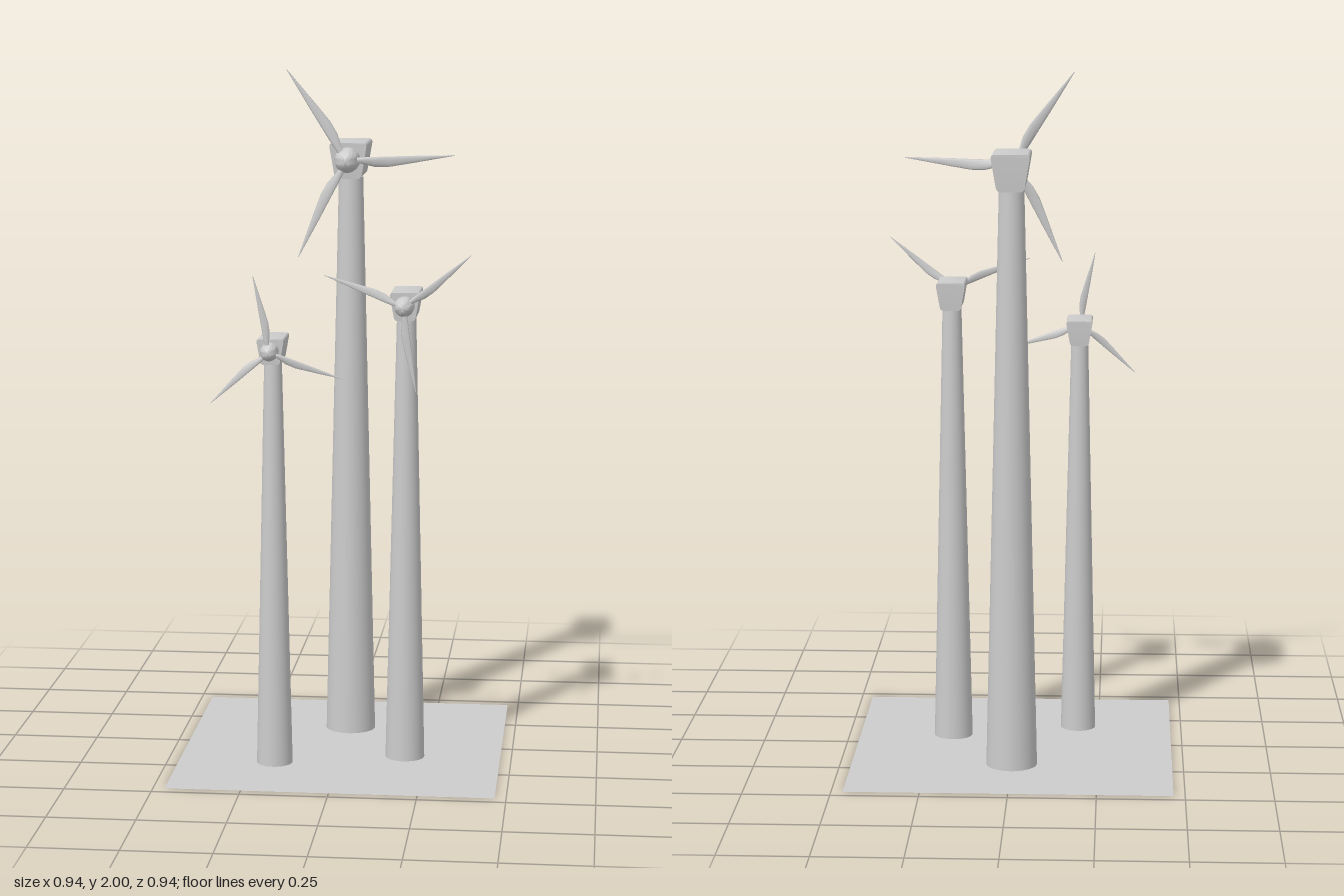
import * as THREE from 'three';
import { toCreasedNormals } from 'three/addons/utils/BufferGeometryUtils.js';

const material = new THREE.MeshStandardMaterial({ color: 0xcccccc });
const sheet = new THREE.MeshStandardMaterial({ color: 0xcccccc, side: THREE.DoubleSide });

function part(name, geometry, mat = material) {
  const mesh = new THREE.Mesh(geometry, mat);
  mesh.name = name;
  return mesh;
}

// Blade lofted along +x: [distance, trailing edge y, leading edge y, half thickness, twist]
function bladeGeometry() {
  const stations = [
    [0.015, -0.008, 0.008, 0.006, 0.3],
    [0.04, -0.010, 0.009, 0.006, 0.28],
    [0.08, -0.021, 0.009, 0.005, 0.22],
    [0.12, -0.023, 0.008, 0.004, 0.16],
    [0.18, -0.016, 0.007, 0.003, 0.1],
    [0.25, -0.007, 0.005, 0.002, 0.05],
    [0.313, 0.001, 0.003, 0.0008, 0],
  ];
  const n = 10, positions = [], index = [];
  for (const [x, lo, hi, t, twist] of stations) {
    for (let i = 0; i < n; i++) {
      const a = (i / n) * Math.PI * 2;
      const c = Math.cos(a) * (hi - lo) / 2, s = Math.sin(a) * t;
      positions.push(x,
        (lo + hi) / 2 + c * Math.cos(twist) - s * Math.sin(twist),
        c * Math.sin(twist) + s * Math.cos(twist));
    }
  }
  for (let r = 0; r < stations.length - 1; r++) {
    for (let i = 0; i < n; i++) {
      const a = r * n + i, b = r * n + (i + 1) % n;
      index.push(a, b, a + n, b, b + n, a + n);
    }
  }
  // Tip cap
  const last = (stations.length - 1) * n;
  for (let i = 1; i < n - 1; i++) index.push(last, last + i, last + i + 1);
  const g = new THREE.BufferGeometry();
  g.setAttribute('position', new THREE.Float32BufferAttribute(positions, 3));
  g.setIndex(index);
  g.computeVertexNormals();
  return g;
}

// Housing: rounded trapezoid section, run from back to front
function nacelleGeometry() {
  const corners = [[-0.038, 0], [0.038, 0], [0.056, 0.105], [-0.056, 0.105]]
    .map(([x, y]) => new THREE.Vector2(x, y));
  const shape = new THREE.Shape();
  corners.forEach((p, i) => {
    const r = 0.014;
    const toward = (q) => q.clone().sub(p).setLength(r).add(p);
    const a = toward(corners[(i + 3) % 4]), b = toward(corners[(i + 1) % 4]);
    if (i === 0) shape.moveTo(a.x, a.y); else shape.lineTo(a.x, a.y);
    shape.quadraticCurveTo(p.x, p.y, b.x, b.y);
  });
  shape.closePath();
  const g = new THREE.ExtrudeGeometry(shape, { depth: 0.2, bevelEnabled: false, curveSegments: 5 });
  g.translate(0, 0, -0.1);
  // End faces lean inwards towards the bottom
  const p = g.attributes.position;
  for (let i = 0; i < p.count; i++) {
    p.setZ(i, p.getZ(i) * (0.93 + 0.07 * Math.min(1, p.getY(i) / 0.09)));
  }
  return toCreasedNormals(g, 0.6);
}

// Hub: short cylinder ending in a rounded nose, turned about z
function hubGeometry() {
  const profile = [
    [0, 0.09], [0.036, 0.09], [0.036, 0.13], [0.034, 0.143], [0.029, 0.156],
    [0.021, 0.167], [0.011, 0.174], [0, 0.177],
  ].map(([r, y]) => new THREE.Vector2(r, y));
  const g = new THREE.LatheGeometry(profile, 28);
  g.rotateX(Math.PI / 2);
  return toCreasedNormals(g, 0.7);
}

const towerHeight = 1.68, axisHeight = 0.057;

function turbine(name, x, z, scale, angle, shared) {
  const group = new THREE.Group();
  group.name = name;
  group.add(part('tower', shared.tower));

  const head = new THREE.Group();
  head.name = 'head';
  head.position.y = towerHeight;
  head.add(part('nacelle', shared.nacelle));

  const rotor = new THREE.Group();
  rotor.name = 'rotor';
  rotor.position.y = axisHeight;
  rotor.rotation.z = THREE.MathUtils.degToRad(angle);
  rotor.add(part('hub', shared.hub));
  for (let i = 0; i < 3; i++) {
    const blade = part('blade', shared.blade);
    blade.position.z = 0.143;
    blade.rotation.z = i * Math.PI * 2 / 3;
    rotor.add(blade);
  }
  head.add(rotor);
  group.add(head);
  group.position.set(x, 0, z);
  group.scale.setScalar(scale);
  return group;
}

export function createModel() {
  const model = new THREE.Group();
  model.name = 'windFarm';

  const ground = part('groundPlate', new THREE.PlaneGeometry(0.935, 0.935), sheet);
  ground.rotation.x = -Math.PI / 2;
  model.add(ground);

  const tower = new THREE.CylinderGeometry(0.036, 0.074, towerHeight, 40);
  tower.translate(0, towerHeight / 2, 0);
  const shared = {
    tower, nacelle: nacelleGeometry(), hub: hubGeometry(), blade: bladeGeometry(),
  };

  model.add(
    turbine('tallTurbine', 0, -0.19, 1, 3, shared),
    turbine('middleTurbine', 0.187, 0.092, 0.775, 38, shared),
    turbine('shortTurbine', -0.187, 0.186, 0.705, 101, shared),
  );
  return model;
}
